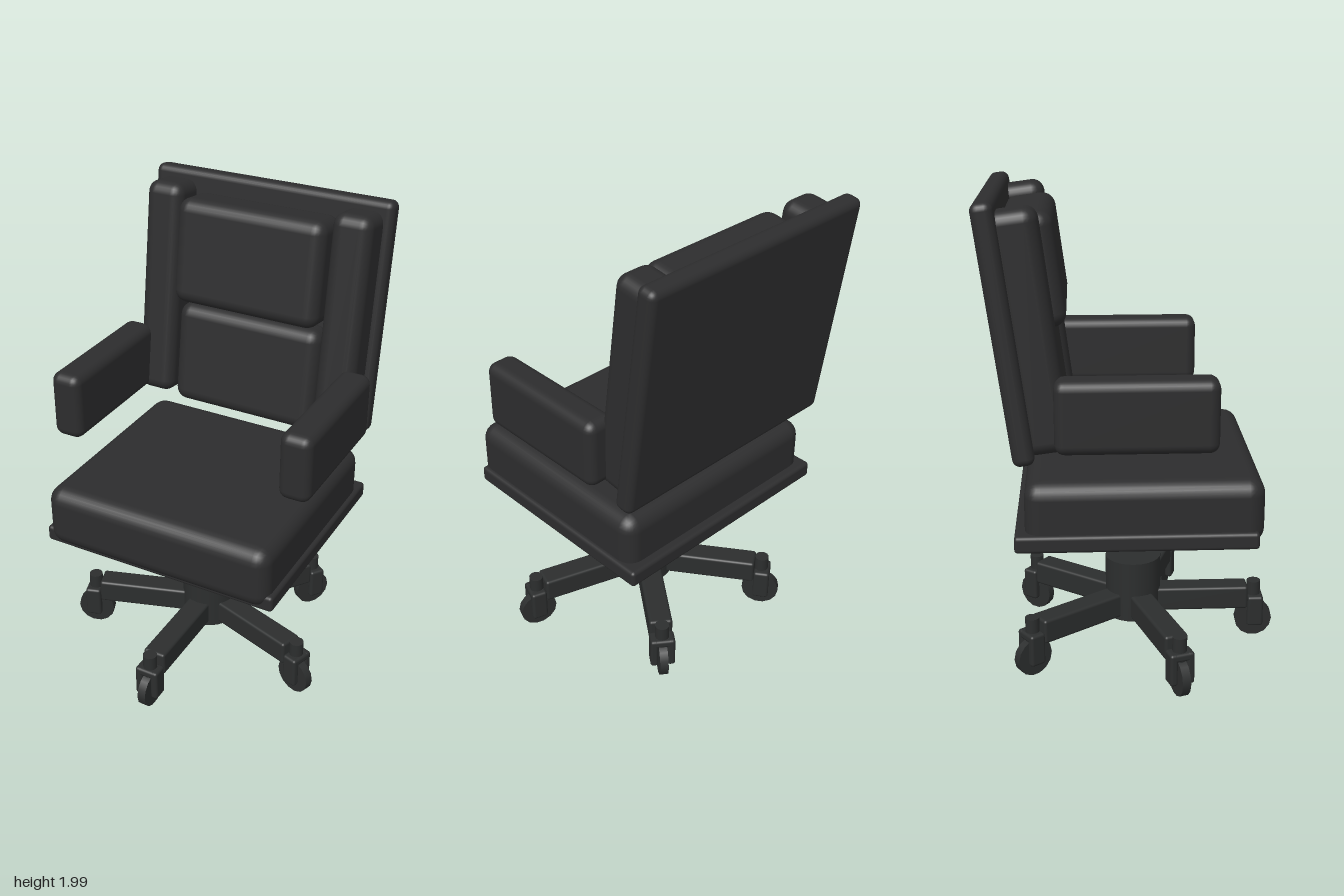
import * as THREE from 'three';
import { RoundedBoxGeometry } from 'three/addons/geometries/RoundedBoxGeometry.js';

export function createModel() {
  const chair = new THREE.Group();
  chair.name = 'officeChair';
  const upholstery = new THREE.MeshStandardMaterial({ color: 0x2d2d2e });
  upholstery.name = 'charcoal upholstery';
  const frame = new THREE.MeshStandardMaterial({ color: 0x2c2e2e });
  frame.name = 'dark frame';

  const add = (parent, name, geometry, material, x, y, z) => {
    const mesh = new THREE.Mesh(geometry, material);
    mesh.name = name;
    mesh.position.set(x, y, z);
    parent.add(mesh);
    return mesh;
  };
  const pad = (parent, name, [w, h, d], radius, [x, y, z], material = upholstery) =>
    add(parent, name, new RoundedBoxGeometry(w, h, d, 3, radius), material, x, y, z);
  const group = (parent, name) => {
    const g = new THREE.Group();
    g.name = name;
    parent.add(g);
    return g;
  };

  // Seat
  pad(chair, 'seatPlate', [1.055, 0.07, 0.96], 0.015, [0, 0.675, -0.005]);
  pad(chair, 'seatCushion', [1.02, 0.27, 0.945], 0.065, [0, 0.78, 0.0275]);

  // Reclined back with its cushions
  const back = group(chair, 'backrest');
  back.position.set(0, 1.498, -0.5);
  back.rotation.x = -0.13;
  pad(back, 'backPanel', [1.09, 1.0, 0.085], 0.03, [0, 0, 0]);
  pad(back, 'upperCushion', [0.67, 0.45, 0.215], 0.055, [0, 0.19, 0.1275]);
  pad(back, 'lowerCushion', [0.67, 0.45, 0.15], 0.055, [0, -0.28, 0.095]);

  // Side bolsters and armrests
  for (const side of [-1, 1]) {
    pad(back, 'sideBolster', [0.17, 0.935, 0.19], 0.05, [side * 0.425, -0.012, 0.095]);
    pad(chair, 'armrest', [0.135, 0.29, 0.625], 0.04, [side * 0.5175, 1.2, -0.0075]);
  }

  // Five-star base
  const base = group(chair, 'base');
  add(base, 'hub', new THREE.CylinderGeometry(0.12, 0.12, 0.27, 24), frame, 0, 0.265, 0);
  for (let i = 0; i < 5; i++) {
    const spoke = group(base, 'spoke');
    spoke.rotation.y = (i * Math.PI * 2) / 5;
    pad(spoke, 'leg', [0.1, 0.105, 0.49], 0.012, [0, 0.197, 0.26], frame);

    // Caster: stem, fork and wheel
    add(spoke, 'casterStem', new THREE.CylinderGeometry(0.03, 0.03, 0.11, 16), frame, 0, 0.207, 0.535);
    pad(spoke, 'forkCrown', [0.106, 0.035, 0.07], 0.012, [0, 0.182, 0.54], frame);
    for (const side of [-1, 1]) {
      pad(spoke, 'forkTine', [0.033, 0.14, 0.07], 0.012, [side * 0.0365, 0.13, 0.54], frame);
    }
    const wheel = add(spoke, 'wheel', new THREE.CylinderGeometry(0.082, 0.082, 0.036, 14), frame, 0, 0.084, 0.535);
    wheel.rotation.z = Math.PI / 2;
  }
  return chair;
}
